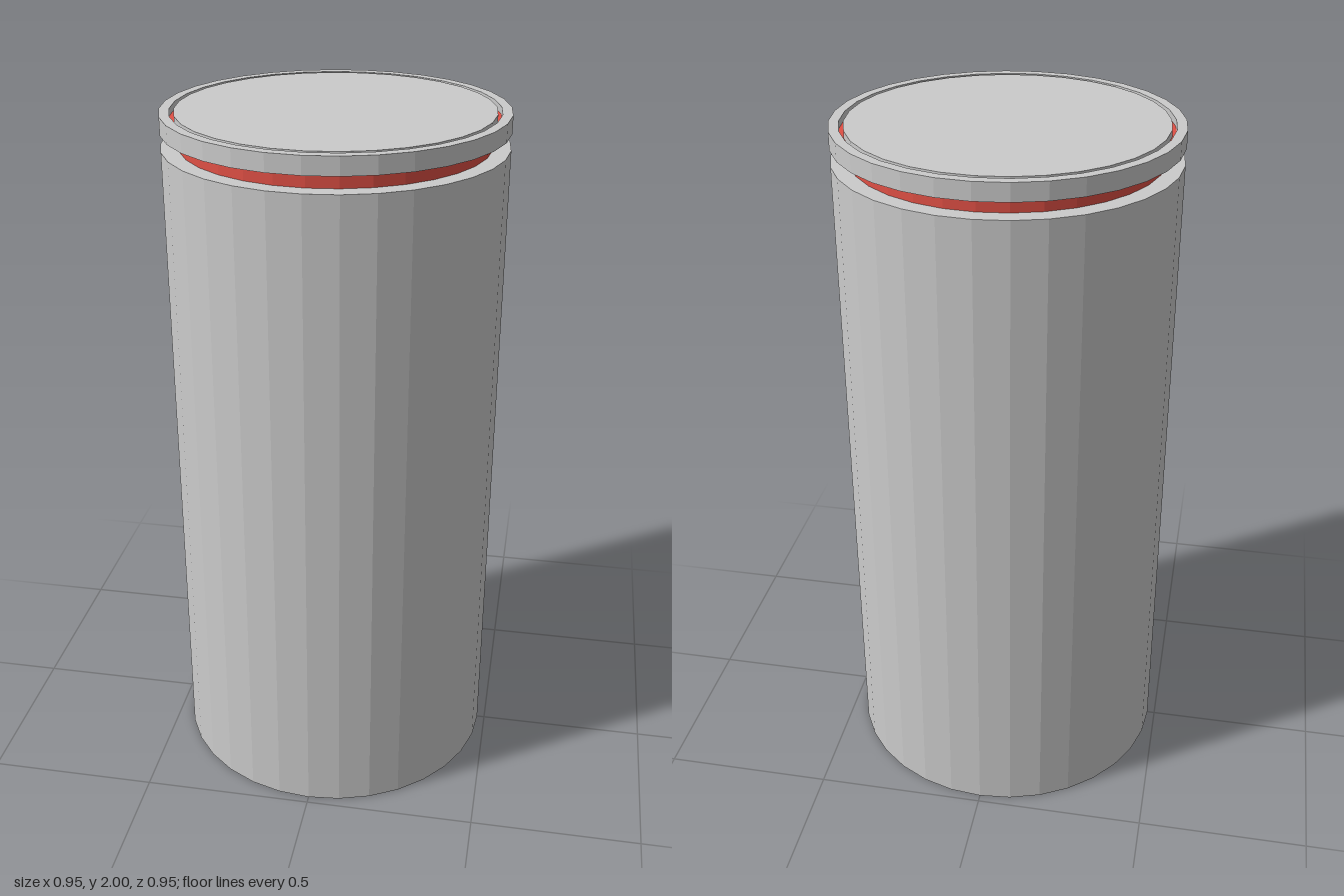
import * as THREE from 'three';

const SIDES = 32;

export function createModel() {
  const model = new THREE.Group();
  const grey = new THREE.MeshStandardMaterial({ color: 0xcccccc, flatShading: true });
  const red = new THREE.MeshStandardMaterial({ color: 0xe05045, flatShading: true });

  // Turned part from [radius, height] pairs, listed from the bottom outwards and up
  const turned = (name, profile, material) => {
    const points = profile.map(([r, y]) => new THREE.Vector2(r, y));
    const mesh = new THREE.Mesh(new THREE.LatheGeometry(points, SIDES), material);
    mesh.name = name;
    model.add(mesh);
  };

  // Main canister
  turned('body', [[0, 0], [0.477, 0], [0.477, 1.905], [0, 1.905]], grey);

  // Recessed coloured band between body and lid
  turned('neckBand', [[0.428, 1.905], [0.428, 1.95]], red);

  // Lid rim, with the inner wall of the slot
  turned('lidRim', [[0.42, 1.95], [0.477, 1.95], [0.477, 2], [0.449, 2], [0.449, 1.975]], grey);

  // Coloured floor of the slot
  turned('slotRing', [[0.449, 1.98], [0.437, 1.98]], red);

  // Raised centre disc of the lid
  turned('lidDisc', [[0.437, 1.975], [0.437, 2], [0, 2]], grey);

  return model;
}
